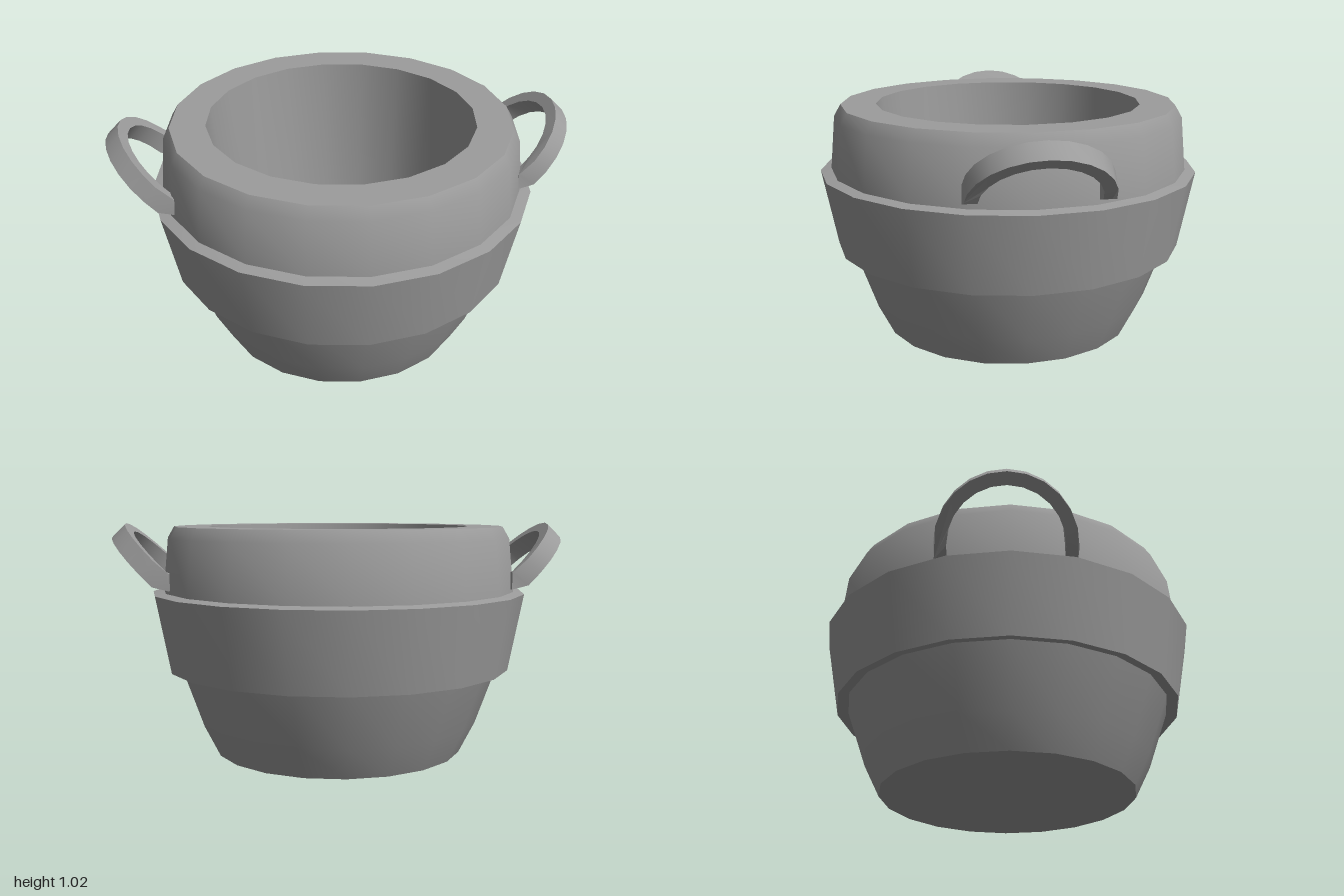
import * as THREE from 'three';
import { toCreasedNormals } from 'three/addons/utils/BufferGeometryUtils.js';

const SIDES = 20;
const CREASE = 0.6;

export function createModel() {
  const model = new THREE.Group();
  model.name = 'twoHandledPot';
  const material = new THREE.MeshStandardMaterial({ color: 0x9c9c9c });

  const add = (name, geometry) => {
    const mesh = new THREE.Mesh(toCreasedNormals(geometry, CREASE), material);
    mesh.name = name;
    model.add(mesh);
  };

  // Profiles are [radius, height], outside going up, inside going down
  const lathe = (profile) =>
    new THREE.LatheGeometry(profile.map(([r, y]) => new THREE.Vector2(r, y)), SIDES);

  // Tapered lower bowl with flat base
  add('lowerBowl', lathe([[0, 0], [0.56, 0], [0.63, 0.14], [0.72, 0.395]]));

  // Flared band around the middle
  add('middleBand', lathe([[0.715, 0.395], [0.768, 0.383], [0.832, 0.72], [0.78, 0.73]]));

  // Neck, thick rim and hollow inside
  add('neckAndCavity', lathe([
    [0.785, 0.728], [0.762, 0.96], [0.733, 1.01],
    [0.58, 1.01], [0.508, 0.1], [0, 0.1],
  ]));

  // Arched strap handles, leaning outward at 45 degrees
  const outer = 0.287, inner = 0.235, leg = -0.04, width = 0.082;
  const arch = new THREE.Shape();
  arch.moveTo(outer, leg);
  arch.lineTo(outer, 0);
  arch.absarc(0, 0, outer, 0, Math.PI, false);
  arch.lineTo(-outer, leg);
  arch.lineTo(-inner, leg);
  arch.lineTo(-inner, 0);
  arch.absarc(0, 0, inner, Math.PI, 0, true);
  arch.lineTo(inner, leg);
  arch.closePath();

  for (const [name, turn] of [['leftHandle', 0], ['rightHandle', Math.PI]]) {
    const strap = new THREE.ExtrudeGeometry(arch, {
      depth: width, bevelEnabled: false, curveSegments: 6,
    });
    strap.translate(0, 0, -width / 2);

    // Bend the feet inward so they meet the neck with an upright end
    const p = strap.attributes.position;
    for (let i = 0; i < p.count; i++) {
      if (p.getY(i) > leg / 2) continue;
      const upper = p.getZ(i) > 0;
      p.setY(i, upper ? -0.011 : -0.064);
      p.setZ(i, upper ? 0.048 : -0.003);
    }

    strap.rotateY(-Math.PI / 2);
    strap.rotateZ(-Math.PI / 4);
    strap.translate(0.768, 0.792, 0);
    strap.rotateY(turn);
    strap.translate(0, 0, -0.018);
    add(name, strap);
  }

  return model;
}
